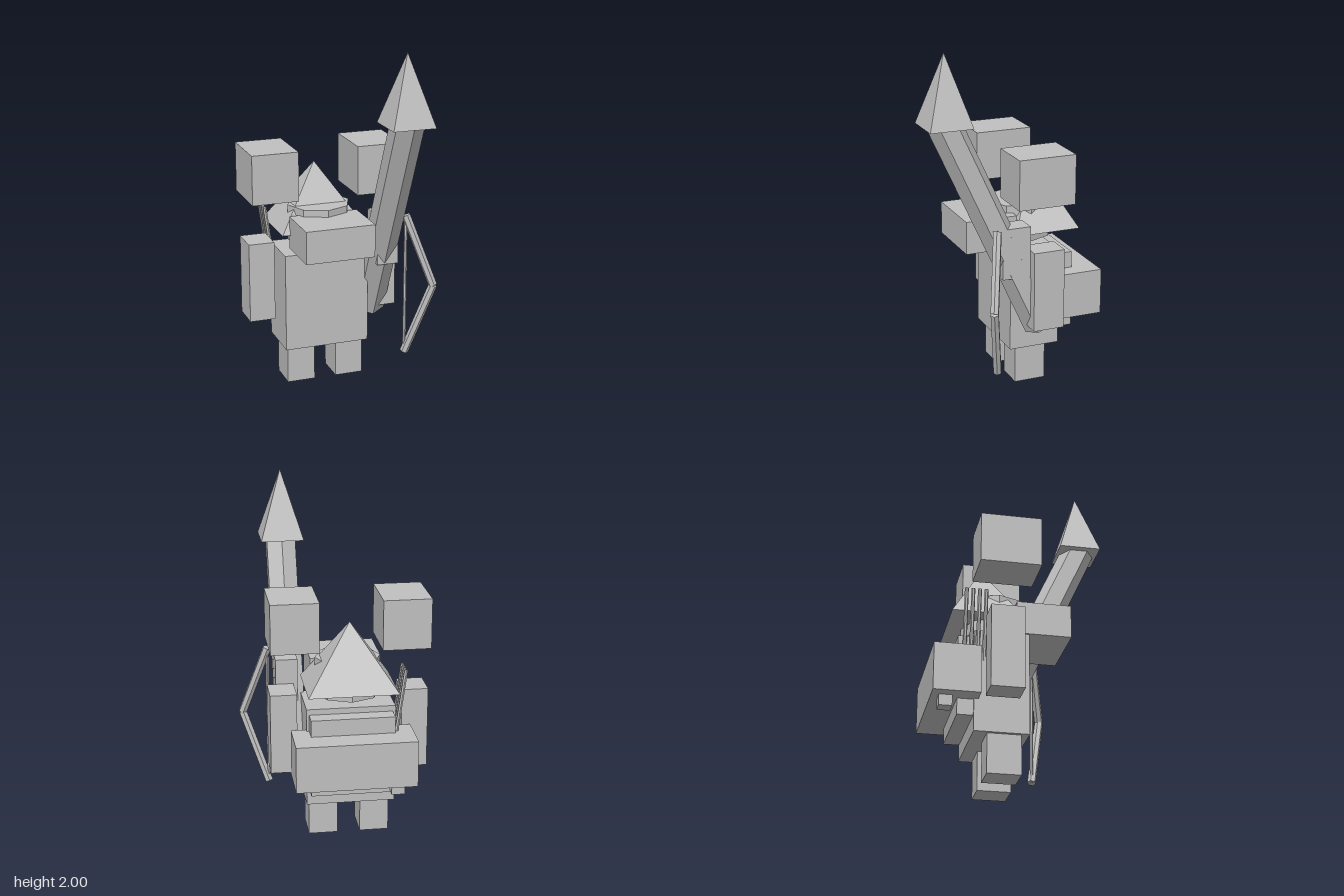
import * as THREE from 'three';

export function createModel() {
  const model = new THREE.Group();
  const grey = new THREE.MeshStandardMaterial({ color: 0xc0c0c0, flatShading: true });
  grey.name = 'plain grey';
  const midX = -0.07; // the figure's own centre line

  function add(name, geometry) {
    const mesh = new THREE.Mesh(geometry, grey);
    mesh.name = name;
    model.add(mesh);
    return mesh;
  }

  // Box given by its limits on each axis
  function box(name, [x0, x1], [y0, y1], [z0, z1]) {
    add(name, new THREE.BoxGeometry(x1 - x0, y1 - y0, z1 - z0))
      .position.set((x0 + x1) / 2, (y0 + y1) / 2, (z0 + z1) / 2);
  }

  // Same box on both sides of the figure's centre line
  function boxPair(name, [x0, x1], y, z) {
    box('left ' + name, [midX + x0, midX + x1], y, z);
    box('right ' + name, [midX - x1, midX - x0], y, z);
  }

  // Four-sided pyramid with edges along x and z
  function pyramid(name, width, height, depth, x, y, z) {
    const g = new THREE.ConeGeometry(Math.SQRT1_2, 1, 4).rotateY(Math.PI / 4);
    g.scale(width, height, depth);
    add(name, g).position.set(x, y + height / 2, z);
  }

  // Six-sided rod between two points
  function rod(name, from, to, radius) {
    const a = new THREE.Vector3(...from), b = new THREE.Vector3(...to);
    const dir = b.clone().sub(a);
    const mesh = add(name, new THREE.CylinderGeometry(radius, radius, dir.length(), 6));
    mesh.position.copy(a).add(b).multiplyScalar(0.5);
    mesh.quaternion.setFromUnitVectors(new THREE.Vector3(0, 1, 0), dir.normalize());
  }

  // Body and limbs
  box('body', [-0.32, 0.18], [0.22, 0.795], [-0.3, 0]);
  boxPair('leg', [0.065, 0.23], [0, 0.22], [-0.225, -0.04]);
  boxPair('arm', [0.295, 0.445], [0.4, 0.865], [-0.245, -0.062]);
  box('forearm', [0.2, 0.325], [0.715, 1.008], [-0.06, 0.105]);

  // Head, face block, hat and floating side blocks
  add('head', new THREE.CylinderGeometry(0.185, 0.185, 0.21, 8)).position.set(midX, 0.945, -0.155);
  box('faceBlock', [-0.275, 0.13], [0.82, 1.01], [-0.06, 0.245]);
  pyramid('hat', 0.505, 0.37, 0.39, midX, 0.905, -0.23);
  boxPair('sideBlock', [0.175, 0.445], [1.122, 1.407], [-0.305, 0.03]);

  // Pack with its back plate, toggle and arrows
  box('backPlate', [-0.305, 0.165], [0.31, 0.762], [-0.388, -0.3]);
  box('pack', [-0.41, 0.265], [0.4, 0.667], [-0.53, -0.275]);
  box('packToggle', [-0.345, -0.27], [0.34, 0.4], [-0.49, -0.418]);
  for (let i = 0; i < 4; i++) {
    const z = -0.355 + i * 0.036;
    rod('arrow', [-0.308, 0.6, z], [-0.365, 1.02, z], 0.011);
  }

  // Leaning lance with a pyramid tip
  rod('lanceShaft', [0.243, 0.385, -0.155], [0.243, 1.665, 0.435], 0.095);
  pyramid('lanceTip', 0.245, 0.395, 0.245, 0.24, 1.605, 0.407);

  // Bow
  const grip = [0.495, 0.6, 0.225];
  const tips = [[0.352, 1.015, 0.15], [0.352, 0.18, 0.15]];
  for (const tip of tips) rod('bowLimb', grip, tip, 0.025);
  rod('bowString', tips[0], tips[1], 0.01);

  return model;
}
